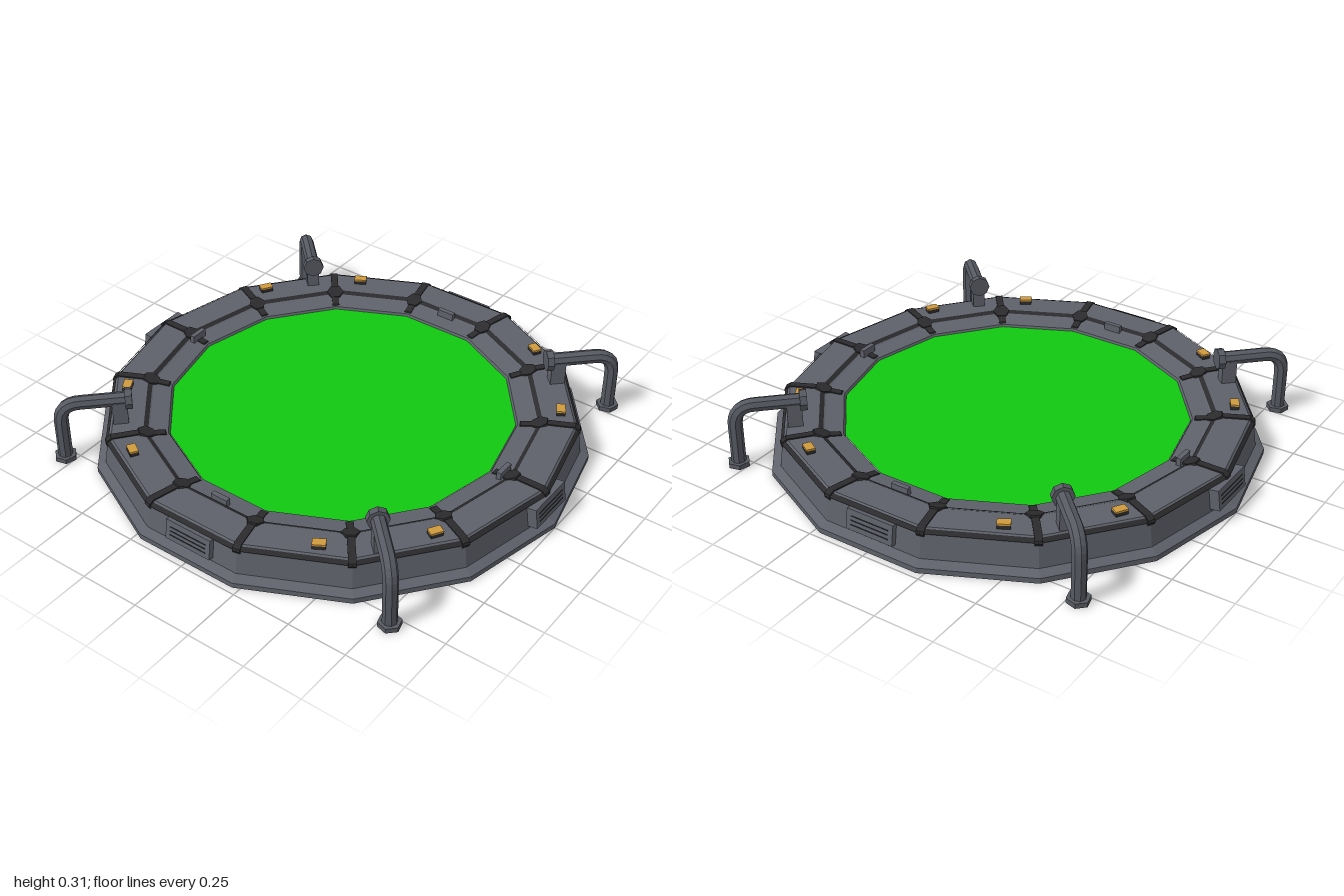
import * as THREE from 'three';

const SIDES = 14;
const mat = (name, color) => {
  const m = new THREE.MeshStandardMaterial({ color, flatShading: true, side: THREE.DoubleSide });
  m.name = name;
  return m;
};

export function createModel() {
  const metal = mat('grey metal', 0x5e616a);
  const pipeMetal = mat('pipe metal', 0x565961);
  const dark = mat('dark seam', 0x2b2b2d);
  const green = mat('green liquid', 0x10c810);
  const amber = mat('amber lamp', 0xcf9a3c);
  const model = new THREE.Group();

  const add = (parent, name, geo, material, x = 0, y = 0, z = 0) => {
    const mesh = new THREE.Mesh(geo, material);
    mesh.name = name;
    mesh.position.set(x, y, z);
    parent.add(mesh);
    return mesh;
  };
  // group whose local +x points outward at the given angle
  const spoke = (name, angle) => {
    const g = new THREE.Group();
    g.name = name;
    g.rotation.y = angle;
    model.add(g);
    return g;
  };
  const ring = (name, pts, material) =>
    add(model, name, new THREE.LatheGeometry(pts.map(p => new THREE.Vector2(...p)), SIDES, Math.PI / 2), material);
  const box = (w, h, d) => new THREE.BoxGeometry(w, h, d);

  // hollow fourteen-sided rim, open underneath
  ring('rim', [[1, 0], [1, 0.022], [0.965, 0.04], [0.95, 0.145], [0.935, 0.16],
    [0.81, 0.16], [0.785, 0.148], [0.71, 0.138], [0.7, 0.122]], metal);

  // dark grooves running round the rim
  ring('outerGroove', [[0.958, 0.143], [0.951, 0.15], [0.944, 0.157]], dark);
  ring('innerGroove', [[0.808, 0.162], [0.79, 0.153]], dark);

  // liquid surface
  add(model, 'pool', new THREE.CircleGeometry(0.702, SIDES).rotateX(-Math.PI / 2), green, 0, 0.13, 0);

  // seam strips over each corner, following the rim section
  const path = [[0.958, 0.135], [0.955, 0.147], [0.936, 0.16], [0.81, 0.16], [0.785, 0.148], [0.72, 0.139]];
  const section = new THREE.Shape([
    ...path.map(([r, y]) => new THREE.Vector2(r, y + 0.005)),
    ...path.slice().reverse().map(([r, y]) => new THREE.Vector2(r - 0.006, y - 0.006))
  ]);
  const seamGeo = new THREE.ExtrudeGeometry(section, { depth: 0.03, bevelEnabled: false }).translate(0, 0, -0.015);
  const jointGeo = new THREE.CylinderGeometry(0.036, 0.036, 0.02, 6);
  for (let i = 0; i < SIDES; i++) {
    const g = spoke('seam', (i / SIDES) * Math.PI * 2);
    add(g, 'seamStrip', seamGeo, dark);
    add(g, 'seamJoint', jointGeo, dark, 0.797, 0.153, 0).rotation.z = 0.3;
  }

  // vent panels and small clips on the four main directions
  for (let i = 0; i < 4; i++) {
    const g = spoke('vent', i * Math.PI / 2);
    const out = i % 2 ? 0.935 : 0.955;
    const panel = add(g, 'ventPanel', box(0.04, 0.085, 0.21), metal, out, 0.098, 0);
    panel.rotation.z = 0.14;
    for (let k = 0; k < 3; k++)
      add(panel, 'ventSlat', box(0.004, 0.004, 0.17), dark, 0.02, -0.02 + k * 0.018, 0);
    add(g, 'clip', box(0.02, 0.035, 0.075), metal, 0.762, 0.16, 0);
  }

  // amber lamps, a pair in every quadrant
  for (let q = 0; q < 4; q++) for (const s of [-1, 1]) {
    const g = spoke('lamp', Math.PI / 4 + q * Math.PI / 2 + s * 0.245);
    add(g, 'lampBase', box(0.034, 0.018, 0.05), dark, 0.875, 0.167, 0);
    add(g, 'lampTop', box(0.036, 0.007, 0.052), amber, 0.875, 0.179, 0);
  }

  // bent pipes on the diagonals, with feet, end flanges and support posts
  const bend = new THREE.CurvePath();
  const v = (x, y) => new THREE.Vector3(x, y, 0);
  bend.add(new THREE.LineCurve3(v(1.117, 0), v(1.117, 0.185)));
  bend.add(new THREE.QuadraticBezierCurve3(v(1.117, 0.185), v(1.117, 0.265), v(1.037, 0.265)));
  bend.add(new THREE.LineCurve3(v(1.037, 0.265), v(0.845, 0.265)));
  const pipeGeo = new THREE.TubeGeometry(bend, 24, 0.029, 8, false);
  const footGeo = new THREE.CylinderGeometry(0.046, 0.046, 0.02, 6);
  const flangeGeo = new THREE.CylinderGeometry(0.044, 0.044, 0.028, 8).rotateZ(Math.PI / 2);
  for (let q = 0; q < 4; q++) {
    const g = spoke('pipe', Math.PI / 4 + q * Math.PI / 2);
    add(g, 'pipeTube', pipeGeo, pipeMetal);
    add(g, 'pipeFoot', footGeo, pipeMetal, 1.117, 0.01, 0);
    add(g, 'pipeFlange', flangeGeo, pipeMetal, 0.848, 0.265, 0);
    add(g, 'pipePost', box(0.06, 0.11, 0.05), metal, 0.885, 0.2, 0);
  }
  return model;
}
